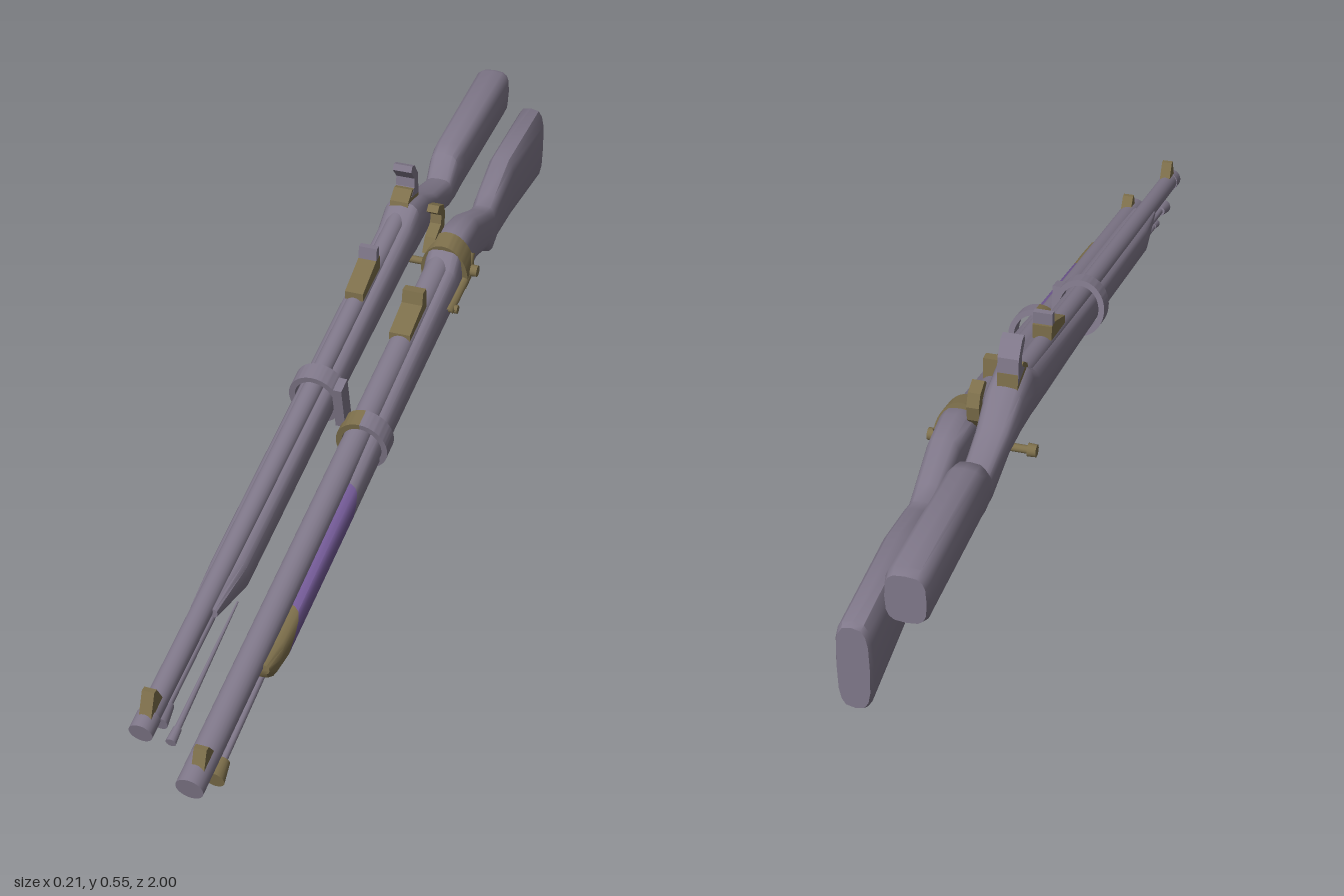
import * as THREE from 'three';
import { toCreasedNormals } from 'three/addons/utils/BufferGeometryUtils.js';

const material = (name, color) => Object.assign(new THREE.MeshStandardMaterial({ color }), { name });
const steel = material('greySteel', 0x80788a);
const brass = material('agedBrass', 0x7d6f4b);
const purple = material('purpleWrap', 0x735a96);

const TILT = 0.214; // barrels dip towards the muzzle
const V = (x, y, z) => new THREE.Vector3(x, y, z);

function add(parent, name, geometry, mat) {
  const mesh = new THREE.Mesh(geometry, mat);
  mesh.name = name;
  parent.add(mesh);
  return mesh;
}

// Straight round bar from a to b
function rod(parent, name, a, b, ra, rb, mat, sides = 20) {
  const mesh = add(parent, name, new THREE.CylinderGeometry(rb, ra, a.distanceTo(b), sides), mat);
  mesh.position.copy(a).add(b).multiplyScalar(0.5);
  mesh.quaternion.setFromUnitVectors(V(0, 1, 0), b.clone().sub(a).normalize());
  return mesh;
}

// Flat plate with a side outline of [z, y] points, centred on x
function plate(parent, name, outline, x, width, mat) {
  const shape = new THREE.Shape(outline.map(([z, y]) => new THREE.Vector2(z, y)));
  const geo = new THREE.ExtrudeGeometry(shape, { depth: width, bevelEnabled: false });
  geo.rotateY(-Math.PI / 2).translate(x + width / 2, 0, 0);
  return add(parent, name, geo, mat);
}

// Bent bar through [z, y] points at one x
function bentBar(parent, name, points, x, r, mat) {
  const curve = new THREE.CatmullRomCurve3(points.map(([z, y]) => V(x, y, z)));
  return add(parent, name, new THREE.TubeGeometry(curve, 24, r, 8), mat);
}

// Arc of an elliptical strap around the barrel
function strap(parent, name, [x, y, z], rx, ry, wall, depth, from, to, mat) {
  const shape = new THREE.Shape();
  shape.absellipse(0, 0, rx, ry, from, to, false, 0);
  shape.absellipse(0, 0, rx - wall, ry - wall, to, from, true, 0);
  const geo = new THREE.ExtrudeGeometry(shape, { depth, bevelEnabled: false, curveSegments: 20 });
  geo.translate(0, 0, -depth / 2);
  const mesh = add(parent, name, toCreasedNormals(geo, 0.6), mat);
  mesh.position.set(x, y, z);
  mesh.rotation.x = TILT;
  return mesh;
}

// Rounded-square sections [z, bottom, top, centreX, halfWidth, skew], front to back
function loft(parent, name, sections, mat) {
  const n = 16, pos = [], index = [];
  const round = (v) => Math.sign(v) * Math.pow(Math.abs(v), 0.6);
  for (const [z, y0, y1, cx, hw, skew = 0] of sections) {
    for (let j = 0; j < n; j++) {
      const a = (j / n) * Math.PI * 2, s = round(Math.sin(a));
      pos.push(cx + hw * round(Math.cos(a)), (y0 + y1) / 2 + s * (y1 - y0) / 2, z - skew * s);
    }
  }
  const last = sections.length - 1;
  for (let i = 0; i < last; i++) {
    for (let j = 0; j < n; j++) {
      const k = (j + 1) % n, a = i * n + j, b = i * n + k;
      index.push(a, a + n, b, b, a + n, b + n);
    }
  }
  for (let j = 1; j < n - 1; j++) {
    index.push(0, j, j + 1, last * n, last * n + j + 1, last * n + j);
  }
  const geo = new THREE.BufferGeometry();
  geo.setAttribute('position', new THREE.Float32BufferAttribute(pos, 3));
  geo.setIndex(index);
  return add(parent, name, toCreasedNormals(geo, 0.7), mat);
}

// Lower rifle, on the left, with the wrapped fore-end
function lowerRifle() {
  const g = new THREE.Group();
  g.name = 'lowerRifle';
  rod(g, 'barrel', V(0.032, 0.062, 0.994), V(0.034, 0.346, -0.34), 0.026, 0.026, steel, 24);

  const tip = [0.72, 0.1, 0.122, 0.042, 0.028, 0.0];
  const wrapFront = [0.62, 0.075, 0.148, 0.042, 0.037, 0.045];
  const wrapBack = [0.3, 0.142, 0.215, 0.042, 0.038, 0.02];
  loft(g, 'foreEndCap', [tip, [0.68, 0.082, 0.132, 0.042, 0.035, 0.03], wrapFront], brass);
  loft(g, 'foreEndWrap', [wrapFront, wrapBack], purple);
  loft(g, 'stock', [
    wrapBack,
    [0.15, 0.175, 0.25, 0.042, 0.038],
    [-0.3, 0.252, 0.352, 0.042, 0.038],
    [-0.33, 0.257, 0.38, 0.041, 0.039],
    [-0.40, 0.265, 0.392, 0.041, 0.038],
    [-0.47, 0.278, 0.385, 0.043, 0.033],
    [-0.56, 0.252, 0.348, 0.044, 0.029],
    [-0.6, 0.222, 0.337, 0.043, 0.029],
    [-0.635, 0.236, 0.347, 0.041, 0.03],
    [-0.75, 0.224, 0.376, 0.036, 0.032],
    [-0.99, 0.195, 0.378, 0.033, 0.033],
    [-1.0, 0.2, 0.372, 0.033, 0.029],
  ], steel);

  // Ramrod with brass head
  rod(g, 'ramrod', V(0.045, 0.022, 0.91), V(0.043, 0.098, 0.58), 0.007, 0.007, steel, 10);
  rod(g, 'ramrodHead', V(0.045, 0.02, 0.92), V(0.045, 0.029, 0.88), 0.019, 0.013, brass);

  // Sights
  plate(g, 'frontSight', [[0.97, 0.085], [0.955, 0.122], [0.945, 0.122], [0.925, 0.095]], 0.038, 0.024, brass);
  plate(g, 'rearSight', [[-0.083, 0.305], [-0.083, 0.322], [-0.158, 0.348], [-0.163, 0.375],
    [-0.182, 0.375], [-0.187, 0.33]], 0.032, 0.044, brass);

  // Lock: strap, hammer and lever
  strap(g, 'lockStrap', [0.04, 0.318, -0.365], 0.051, 0.077, 0.012, 0.045, -0.45, Math.PI + 0.3, brass);
  plate(g, 'hammer', [[-0.335, 0.36], [-0.352, 0.39], [-0.385, 0.405], [-0.388, 0.425], [-0.36, 0.445],
    [-0.372, 0.456], [-0.4, 0.445], [-0.412, 0.42], [-0.408, 0.39], [-0.385, 0.36]], 0.005, 0.024, brass);
  bentBar(g, 'lockLever', [[-0.24, 0.287], [-0.3, 0.295], [-0.36, 0.31], [-0.385, 0.35]], 0.083, 0.01, brass);
  rod(g, 'leverKnob', V(0.07, 0.287, -0.26), V(0.098, 0.287, -0.26), 0.009, 0.009, brass, 12);

  // Trigger and guard
  bentBar(g, 'triggerGuard', [[-0.33, 0.265], [-0.365, 0.228], [-0.42, 0.21], [-0.465, 0.228], [-0.48, 0.285]],
    0.04, 0.008, steel);
  bentBar(g, 'trigger', [[-0.41, 0.275], [-0.425, 0.248], [-0.415, 0.228]], 0.04, 0.006, brass);
  return g;
}

// Upper rifle, on the right, with the tall hammer
function upperRifle() {
  const g = new THREE.Group();
  g.name = 'upperRifle';
  rod(g, 'barrel', V(-0.055, 0.162, 0.985), V(-0.055, 0.446, -0.34), 0.02, 0.02, steel, 24);
  rod(g, 'muzzle', V(-0.055, 0.16, 0.99), V(-0.055, 0.168, 0.955), 0.022, 0.022, steel, 24);
  loft(g, 'stock', [
    [0.72, 0.205, 0.225, -0.052, 0.026],
    [0.6, 0.177, 0.25, -0.052, 0.036],
    [0.15, 0.275, 0.345, -0.052, 0.037],
    [-0.29, 0.352, 0.445, -0.052, 0.038],
    [-0.33, 0.357, 0.476, -0.05, 0.04],
    [-0.4, 0.365, 0.462, -0.05, 0.038],
    [-0.47, 0.365, 0.425, -0.05, 0.033],
    [-0.57, 0.335, 0.402, -0.05, 0.03],
    [-0.605, 0.335, 0.445, -0.05, 0.033],
    [-0.64, 0.345, 0.455, -0.05, 0.036],
    [-0.95, 0.368, 0.478, -0.051, 0.04],
    [-0.968, 0.376, 0.472, -0.051, 0.036],
  ], steel);

  // Ramrod and slim cleaning rod
  rod(g, 'ramrod', V(-0.054, 0.124, 0.91), V(-0.053, 0.2, 0.57), 0.007, 0.007, steel, 10);
  rod(g, 'ramrodHead', V(-0.054, 0.122, 0.92), V(-0.054, 0.131, 0.88), 0.016, 0.011, steel);
  rod(g, 'cleaningRod', V(-0.037, 0.078, 0.91), V(-0.04, 0.145, 0.6), 0.007, 0.002, steel, 8);
  rod(g, 'cleaningRodHead', V(-0.037, 0.077, 0.915), V(-0.037, 0.084, 0.885), 0.01, 0.008, steel, 12);

  // Sights
  plate(g, 'frontSight', [[0.975, 0.178], [0.955, 0.225], [0.945, 0.225], [0.925, 0.19]], -0.053, 0.023, brass);
  plate(g, 'rearSightRamp', [[-0.056, 0.4], [-0.056, 0.417], [-0.135, 0.45], [-0.155, 0.45], [-0.155, 0.42]],
    -0.055, 0.038, brass);
  plate(g, 'rearSightBlade', [[-0.133, 0.445], [-0.137, 0.475], [-0.15, 0.475], [-0.15, 0.445]], -0.055, 0.038, steel);

  // Hammer on its brass foot
  plate(g, 'hammerFoot', [[-0.318, 0.45], [-0.325, 0.478], [-0.35, 0.496], [-0.388, 0.49], [-0.392, 0.45]],
    -0.055, 0.039, brass);
  plate(g, 'hammer', [[-0.345, 0.48], [-0.362, 0.495], [-0.364, 0.515], [-0.342, 0.54], [-0.348, 0.552],
    [-0.362, 0.548], [-0.384, 0.52], [-0.39, 0.47]], -0.055, 0.04, steel);
  return g;
}

export function createModel() {
  const model = new THREE.Group();
  model.name = 'pairOfRifles';
  model.add(lowerRifle(), upperRifle());

  // Barrel bands joining the two rifles
  const H = Math.PI / 2;
  const low = [0.043, 0.225, 0.15], high = [-0.053, 0.312, 0.15];
  strap(model, 'lowerBandOuter', low, 0.053, 0.06, 0.012, 0.04, -H, H, steel);
  strap(model, 'lowerBandInner', low, 0.053, 0.06, 0.012, 0.04, H, 3 * H, brass);
  strap(model, 'upperBandOuter', high, 0.053, 0.06, 0.012, 0.04, H, 3 * H, steel);
  strap(model, 'upperBandInner', high, 0.053, 0.06, 0.012, 0.04, -H, H, steel);
  const bridge = add(model, 'bandBridge', new THREE.BoxGeometry(0.02, 0.1, 0.035), steel);
  bridge.position.set(-0.005, 0.3, 0.15);
  bridge.rotation.x = TILT;

  // Cross pin through both locks
  rod(model, 'crossPin', V(-0.1, 0.317, -0.37), V(0.1, 0.317, -0.37), 0.008, 0.008, brass, 12);
  for (const s of [-1, 1]) {
    rod(model, 'crossPinKnob', V(s * 0.088, 0.317, -0.37), V(s * 0.105, 0.317, -0.37), 0.013, 0.012, brass, 16);
  }
  return model;
}
